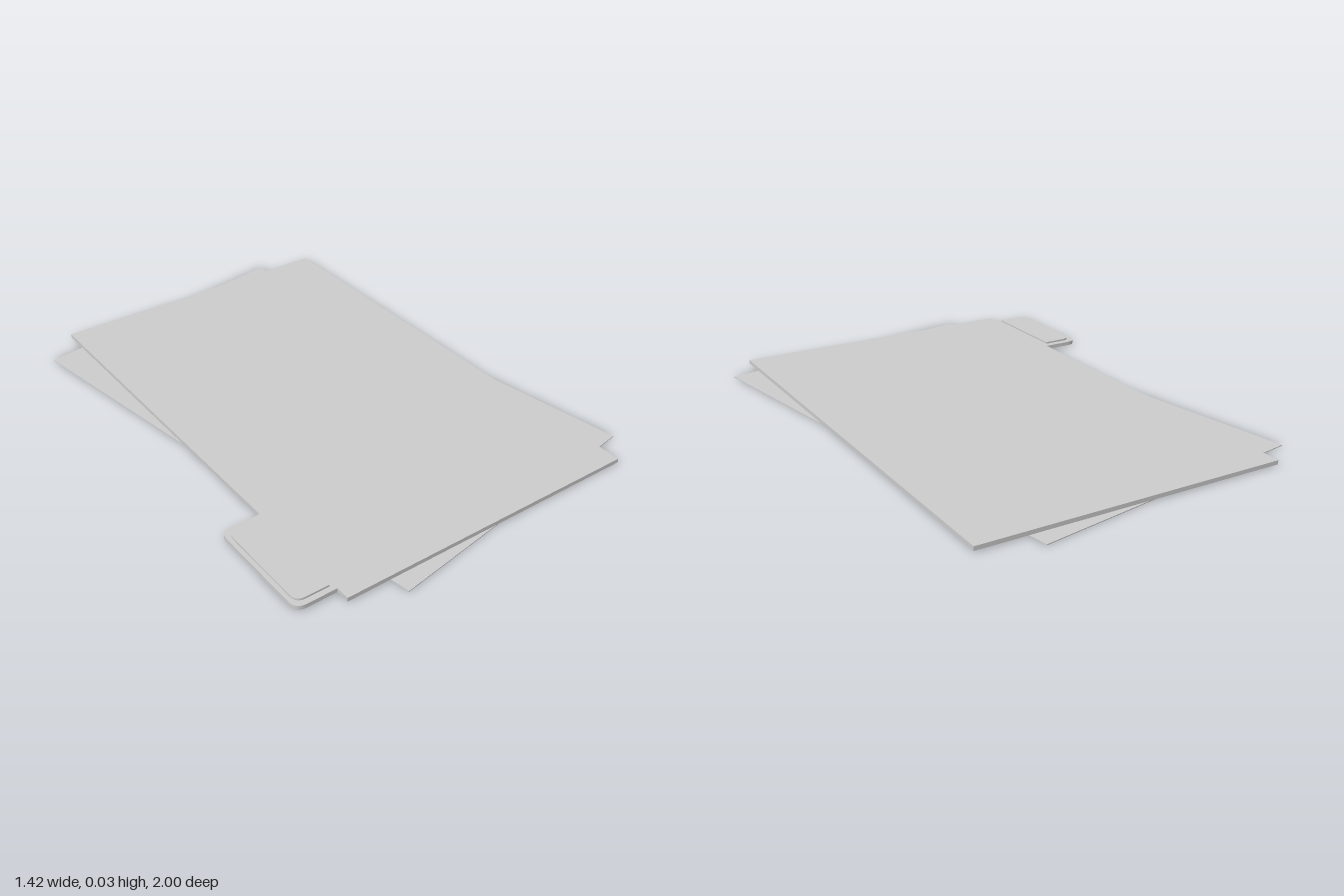
import * as THREE from 'three';

const material = new THREE.MeshStandardMaterial({ color: 0xcccccc });

// Flat plate: the outline is drawn in (x, -z) and extruded upwards from y0 to y1
function plate(name, shape, y0, y1) {
  const geometry = new THREE.ExtrudeGeometry(shape, { depth: y1 - y0, bevelEnabled: false, curveSegments: 8 });
  geometry.rotateX(-Math.PI / 2);
  geometry.translate(0, y0, 0);
  const mesh = new THREE.Mesh(geometry, material);
  mesh.name = name;
  return mesh;
}

// Adds the outer side of a tab with two rounded corners, from its back to its front
function tabSide(shape, inner, outer, zBack, zFront, r) {
  shape.lineTo(inner, -zBack);
  shape.lineTo(outer + r, -zBack);
  shape.quadraticCurveTo(outer, -zBack, outer, -zBack - r);
  shape.lineTo(outer, -zFront + r);
  shape.quadraticCurveTo(outer, -zFront, outer + r, -zFront);
  shape.lineTo(inner, -zFront);
}

export function createModel() {
  const group = new THREE.Group();
  group.name = 'folder';

  // Loose sheet sticking out beneath the folder
  const sheet = new THREE.Mesh(new THREE.BoxGeometry(1.106, 0.003, 1.84), material);
  sheet.name = 'paperSheet';
  sheet.position.set(0.008, 0.0015, 0);
  sheet.rotation.y = 0.168;
  group.add(sheet);

  // Cover with its index tab on the side
  const cover = new THREE.Shape();
  cover.moveTo(-0.56, -0.93);
  cover.lineTo(0.6, -0.93);
  cover.lineTo(0.6, 0.93);
  cover.lineTo(-0.56, 0.93);
  tabSide(cover, -0.56, -0.71, 0.46, 0.88, 0.04);
  group.add(plate('folderCover', cover, 0.005, 0.02));

  // Raised label on the tab
  const label = new THREE.Shape();
  label.moveTo(-0.575, -0.86);
  tabSide(label, -0.575, -0.695, 0.485, 0.86, 0.035);
  group.add(plate('tabLabel', label, 0.02, 0.027));

  return group;
}
